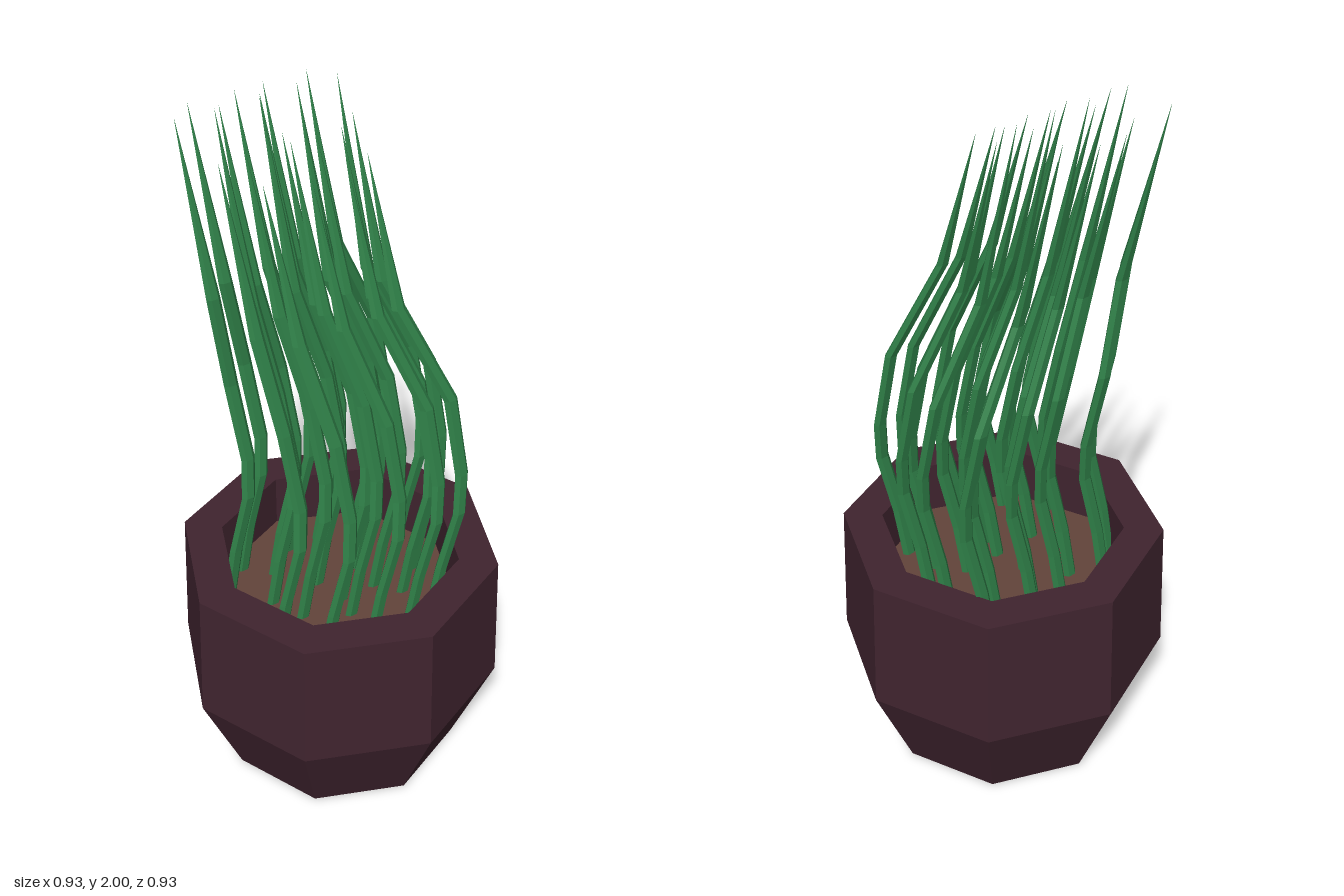
import * as THREE from 'three';

const SOIL_Y = 0.53;

const flat = (color) => new THREE.MeshStandardMaterial({ color, flatShading: true });

// Eight-sided surface turned from [radius, y] pairs
function octagonal(name, profile, material) {
  const geometry = new THREE.LatheGeometry(profile.map(([r, y]) => new THREE.Vector2(r, y)), 8).toNonIndexed();
  geometry.computeVertexNormals();
  const mesh = new THREE.Mesh(geometry, material);
  mesh.name = name;
  return mesh;
}

// Six-sided tapering blade through sections [x, y, z, scale]
function bladeGeometry(sections) {
  const sides = 6, rx = 0.021, rz = 0.013;
  const positions = [], index = [];
  for (const [x, y, z, s] of sections) {
    for (let i = 0; i < sides; i++) {
      const a = (i / sides) * Math.PI * 2;
      positions.push(x + Math.cos(a) * rx * s, y, z + Math.sin(a) * rz * s);
    }
  }
  for (let k = 0; k < sections.length - 1; k++) {
    for (let i = 0; i < sides; i++) {
      const a = k * sides + i, b = k * sides + (i + 1) % sides;
      index.push(a, a + sides, b, b, a + sides, b + sides);
    }
  }
  const geometry = new THREE.BufferGeometry();
  geometry.setAttribute('position', new THREE.Float32BufferAttribute(positions, 3));
  geometry.setIndex(index);
  const faceted = geometry.toNonIndexed();
  faceted.computeVertexNormals();
  return faceted;
}

// Path of one blade, from the soil out to its belly at (x, z), then back up to the tip
function bladeSections(x, z, tipY) {
  const tipX = 0.82 * x - 0.115;
  const kneeZ = z - 0.085 - 0.2 * z;
  return [
    [x - 0.065, SOIL_Y - 0.01, z - 0.035, 1],
    [x - 0.045, 0.69, z - 0.02, 1],
    [x - 0.01, 0.88, z, 1],
    [x, 1.0, z - 0.012, 1],
    [x - 0.02, 1.23, z - 0.05, 1],
    [tipX + 0.025, 1.5, kneeZ, 0.95],
    [tipX, tipY, z - 0.15 - 0.22 * Math.max(z + 0.17, 0), 0.01],
  ];
}

export function createModel() {
  const model = new THREE.Group();
  model.name = 'pottedPlant';

  // Pot with a thick rim and straight inner wall
  model.add(octagonal('pot', [
    [0, 0], [0.345, 0], [0.463, 0.29], [0.45, 0.69], [0.34, 0.69], [0.34, SOIL_Y - 0.02],
  ], flat(0x40242f)));

  // Soil
  model.add(octagonal('soil', [[0.34, SOIL_Y], [0, SOIL_Y]], flat(0x63443a)));

  // Rows of blades from back to front
  const rows = [
    { z: -0.18, tip: 1.96, xs: [-0.13, 0.03, 0.13, 0.285] },
    { z: -0.115, tip: 1.96, xs: [-0.21, -0.06, 0.08, 0.21] },
    { z: -0.01, tip: 2.0, xs: [-0.13, 0.02, 0.15, 0.29] },
    { z: 0.085, tip: 1.93, xs: [-0.09, 0.04, 0.15, 0.285] },
    { z: 0.15, tip: 1.93, xs: [-0.21, 0.03, 0.205] },
    { z: 0.255, tip: 1.89, xs: [-0.125, 0.03, 0.155, 0.23] },
  ];
  const blades = new THREE.Group();
  blades.name = 'blades';
  const green = flat(0x2f8048);
  for (const { z, tip, xs } of rows) {
    for (const x of xs) {
      const blade = new THREE.Mesh(bladeGeometry(bladeSections(x, z, tip)), green);
      blade.name = 'blade';
      blades.add(blade);
    }
  }
  model.add(blades);
  return model;
}
